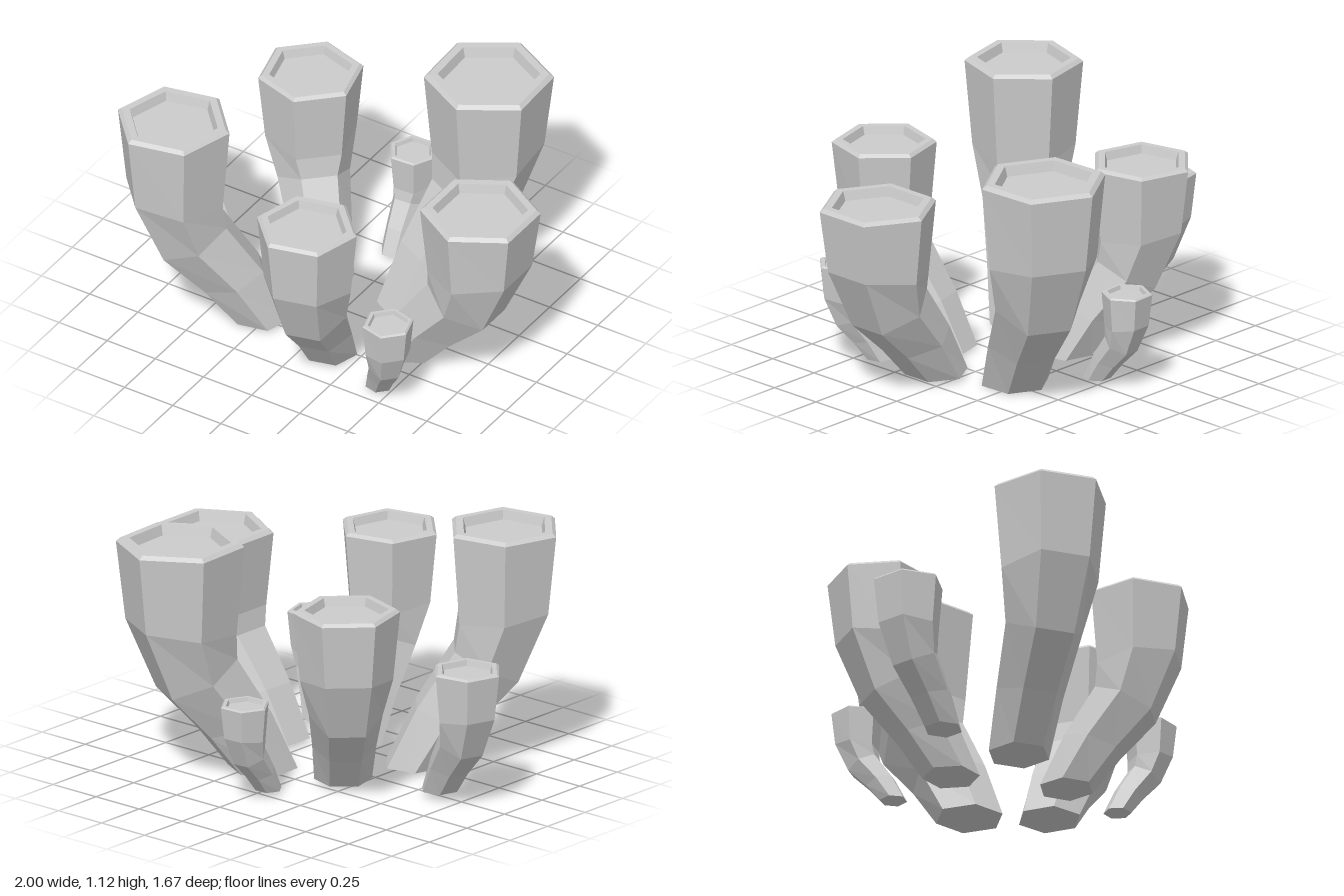
import * as THREE from 'three';

const SIDES = 6;

// Stalk rings: [height fraction, outward travel fraction, radius factor, tilt in radians]
const STALK = [
  [0, 0, 0, 0],
  [0, 0, 0.54, 0],
  [0.215, 0.35, 0.6, 0.3],
  [0.43, 0.8, 0.69, 0.46],
  [0.635, 0.99, 0.87, -0.12],
];

// Rim rings: [drop below the top in radii, radius factor]
const RIM = [[0.06, 1], [0, 0.93], [0, 0.79], [0.16, 0.74], [0.16, 0]];

// Each tube: base centre x, z; mouth centre x, z; base y, top y, mouth radius
const TUBES = [
  ['rightSideTube', 0.40, 0.095, 0.77, 0.095, 0.02, 0.91, 0.265],
  ['tallBackTube', 0.22, -0.21, 0.40, -0.555, 0.0, 1.095, 0.285],
  ['frontTube', 0.115, 0.29, 0.195, 0.605, 0.01, 0.915, 0.23],
  ['tallFrontTube', -0.28, 0.225, -0.57, 0.49, 0.015, 1.115, 0.26],
  ['backTube', -0.18, -0.135, -0.41, -0.375, 0.015, 0.91, 0.235],
  ['outerTube', -0.62, 0.005, -0.845, -0.07, 0.03, 0.655, 0.16],
  ['smallBackTube', -0.035, -0.465, -0.045, -0.635, 0.02, 0.46, 0.113],
  ['smallFrontTube', 0.44, 0.40, 0.555, 0.51, 0.015, 0.465, 0.115],
];

// Six-sided tube that leans outward, straightens, and ends in a recessed mouth
function tubeGeometry(bx, bz, tx, tz, y0, y1, radius) {
  const base = new THREE.Vector3(bx, y0, bz);
  const travel = new THREE.Vector3(tx - bx, 0, tz - bz);
  const out = travel.clone().normalize();
  const side = new THREE.Vector3(-out.z, 0, out.x);
  const rings = [
    ...STALK.map(([h, d, r, tilt]) => ({ y: h * (y1 - y0), d, r: r * radius, tilt })),
    ...RIM.map(([drop, r]) => ({ y: y1 - y0 - drop * radius, d: 1, r: r * radius, tilt: 0 })),
  ];

  const positions = [];
  for (const { y, d, r, tilt } of rings) {
    const centre = base.clone().addScaledVector(travel, d);
    centre.y += y;
    const lean = out.clone().multiplyScalar(Math.cos(tilt));
    lean.y = -Math.sin(tilt);
    for (let i = 0; i < SIDES; i++) {
      // half-step offset turns a flat side toward the lean
      const a = ((i + 0.5) / SIDES) * Math.PI * 2;
      const p = centre.clone()
        .addScaledVector(lean, r * Math.cos(a))
        .addScaledVector(side, r * Math.sin(a));
      positions.push(p.x, p.y, p.z);
    }
  }

  const index = [];
  for (let k = 0; k < rings.length - 1; k++) {
    for (let i = 0; i < SIDES; i++) {
      const j = (i + 1) % SIDES;
      const b = k * SIDES, t = b + SIDES;
      if (rings[k + 1].r > 0) index.push(b + i, t + i, t + j);
      if (rings[k].r > 0) index.push(b + i, t + j, b + j);
    }
  }

  const geometry = new THREE.BufferGeometry();
  geometry.setAttribute('position', new THREE.Float32BufferAttribute(positions, 3));
  geometry.setIndex(index);
  const flat = geometry.toNonIndexed();
  flat.computeVertexNormals();
  return flat;
}

export function createModel() {
  const group = new THREE.Group();
  group.name = 'tubeCluster';
  const material = new THREE.MeshStandardMaterial({ color: 0xcccccc, flatShading: true });
  for (const [name, ...shape] of TUBES) {
    const mesh = new THREE.Mesh(tubeGeometry(...shape), material);
    mesh.name = name;
    group.add(mesh);
  }
  return group;
}
